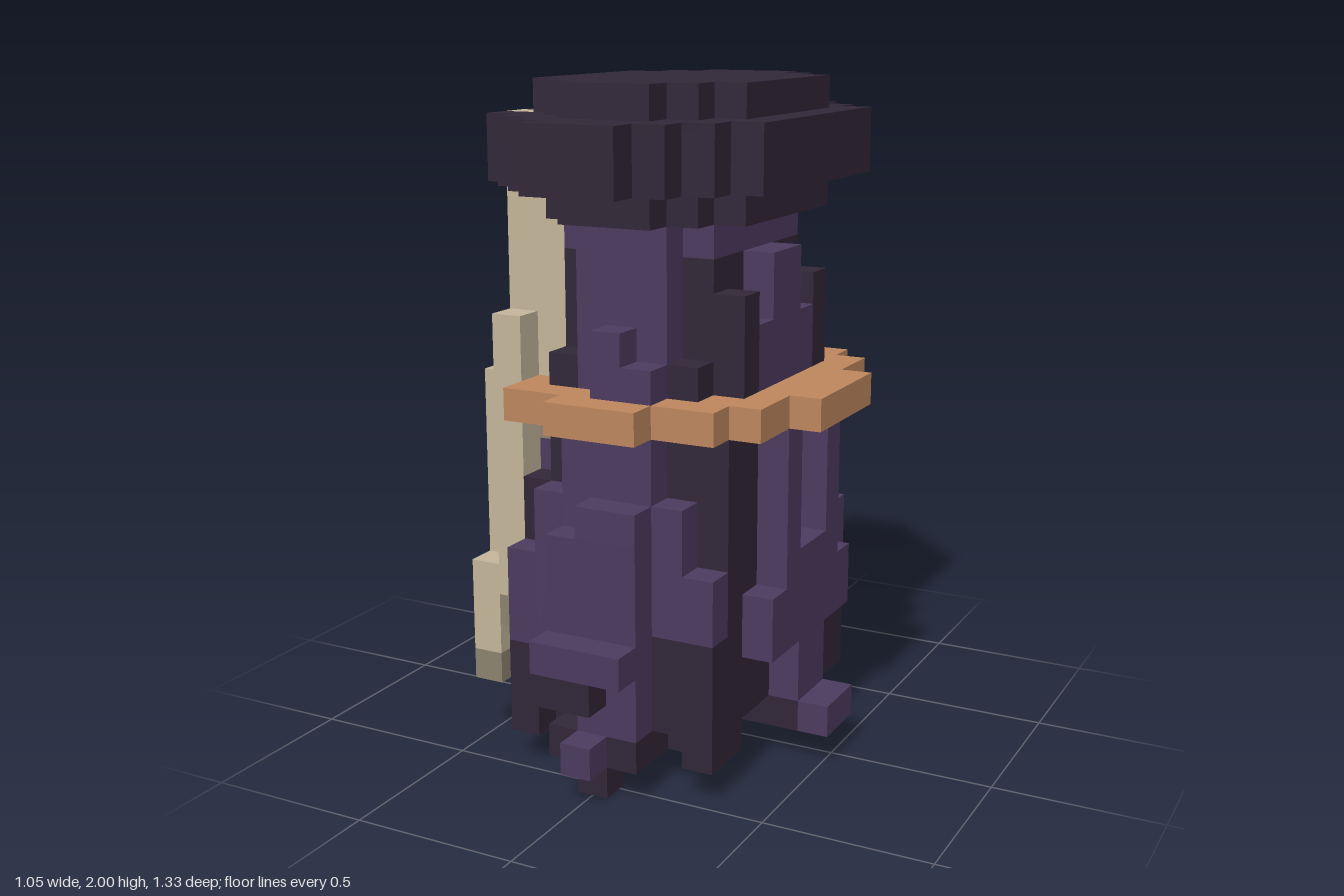
import * as THREE from 'three';
import { mergeGeometries } from 'three/addons/utils/BufferGeometryUtils.js';

const U = 2 / 21; // size of one block

const material = (name, color) => {
  const m = new THREE.MeshStandardMaterial({ color });
  m.name = name;
  return m;
};

// Each block is [x0, x1, y0, y1, z0, z1]. z0 = 0 spans both halves; otherwise it is mirrored in z.
function part(name, mat, blocks) {
  const geos = [];
  const add = (x0, x1, y0, y1, z0, z1) => {
    const g = new THREE.BoxGeometry((x1 - x0) * U, (y1 - y0) * U, (z1 - z0) * U);
    g.translate((x0 + x1) * U / 2, (y0 + y1) * U / 2, (z0 + z1) * U / 2);
    geos.push(g);
  };
  for (const [x0, x1, y0, y1, z0, z1] of blocks) {
    if (z0 === 0) add(x0, x1, y0, y1, -z1, z1);
    else {
      add(x0, x1, y0, y1, z0, z1);
      add(x0, x1, y0, y1, -z1, -z0);
    }
  }
  const mesh = new THREE.Mesh(mergeGeometries(geos), mat);
  mesh.name = name;
  return mesh;
}

export function createModel() {
  const dark = material('dark cloth', 0x312738);
  const purple = material('purple cloth', 0x4c3a5f);
  const tan = material('pale wood', 0xc4b59a);
  const shade = material('wood tips', 0x8c826f);
  const orange = material('rope', 0xbd865e);
  const model = new THREE.Group();
  model.name = 'wrappedBundle';

  // Stepped cap, notched where the poles pass
  model.add(part('capTop', dark, [
    [-3.5, 3.5, 20, 21, 0, 3], [-2.5, 2.5, 20, 21, 3, 4], [-1.5, 1.5, 20, 21, 4, 5],
  ]));
  model.add(part('capBrim', dark, [
    [-4.5, 4.5, 18, 20, 0, 2], [-3.5, 4.5, 18, 20, 2, 3], [-4.5, 4.5, 18, 20, 3, 4],
    [-3.5, 3.5, 18, 20, 4, 5], [-2.5, 2.5, 18, 20, 5, 6], [-1.5, 1.5, 18, 20, 6, 7],
  ]));
  model.add(part('capUnderside', dark, [
    [-3.5, 3.5, 17, 18, 0, 2], [-2.5, 3.5, 17, 18, 2, 3],
    [-2.5, 2.5, 17, 18, 3, 4], [-1.5, 1.5, 17, 18, 4, 5],
  ]));

  // Upper wrap
  model.add(part('upperCloth', purple, [
    [-1.5, 1.5, 12, 17, 0, 4], [-2.5, 2.5, 12, 16, 0, 1], [-2.5, 2.5, 16, 17, 0, 3],
    [-3.5, 3.5, 12, 14, 0, 2], [2.5, 3.5, 14, 16, 0, 1],
    [-0.5, 0.5, 12, 14, 4, 5], [0.5, 1.5, 12, 13, 4, 5],
  ]));
  model.add(part('upperFolds', dark, [
    [1.5, 2.5, 12, 16, 1, 3], [-2.5, -1.5, 12, 16, 1, 3], [2.5, 3.5, 12, 15, 2, 3],
    [-2.5, -1.5, 12, 13, 3, 4], [1.5, 2.5, 12, 13, 3, 4],
  ]));

  // Rope ring
  model.add(part('rope', orange, [
    [-5.5, 5.5, 11, 12, 0, 2], [-3.5, 4.5, 11, 12, 2, 4],
    [-3.5, 3.5, 11, 12, 4, 5], [-1.5, 1.5, 11, 12, 5, 6],
  ]));

  // Lower core, with a notched hem
  model.add(part('lowerCore', dark, [
    [-3.5, 3.5, 2, 4, 0, 5], [-3.5, 3.5, 4, 7, 0, 4], [-2.5, 2.5, 7, 11, 0, 4],
    [2.5, 3.5, 7, 11, 2, 4], [-3.5, -2.5, 7, 9, 2, 4], [-1.5, 3.5, 4, 5, 4, 5],
  ]));
  model.add(part('hem', dark, [
    [-2.5, 2.5, 1, 2, 0, 4], [-4.5, 4.5, 1, 2, 0, 1], [-1.5, 1.5, 1, 2, 4, 6],
    [2.5, 3.5, 1, 2, 3, 5], [-3.5, -2.5, 1, 2, 3, 5], [-1.5, 0.5, 3, 4, 6, 7],
  ]));
  model.add(part('feet', dark, [[-0.5, 0.5, 0, 1, 5, 6]]));

  // Hanging cloth panels at the two ends
  model.add(part('endPanels', purple, [
    [-1.5, 1.5, 5, 11, 4, 5], [-1.5, 1.5, 4, 8, 5, 6], [-0.5, 1.5, 8, 9, 5, 6],
    [-0.5, 1.5, 2, 4, 5, 6], [-1.5, 1.5, 4, 5, 6, 7], [-0.5, 0.5, 1, 2, 6, 7],
    [1.5, 2.5, 5, 9, 4, 5], [2.5, 3.5, 5, 7, 4, 5],
    [-2.5, -1.5, 4, 9, 4, 5], [-3.5, -2.5, 4, 7, 4, 5],
  ]));

  // Hanging cloth panels on the two sides
  model.add(part('sidePanels', purple, [
    [2.5, 3.5, 7, 11, 0, 2], [3.5, 4.5, 7, 11, 1, 2], [3.5, 4.5, 4, 7, 0, 2],
    [3.5, 4.5, 4, 6, 2, 3], [3.5, 4.5, 2, 4, 0, 1], [4.5, 5.5, 1, 2, 0, 1],
    [-3.5, -2.5, 7, 11, 0, 2], [-3.5, -2.5, 9, 10, 2, 3],
    [-4.5, -3.5, 4, 9, 0, 2], [-4.5, -3.5, 2, 4, 0, 1],
  ]));

  // Pair of stepped leaning poles
  model.add(part('poles', tan, [
    [-5.5, -4.5, 3, 6, 3, 4], [-5.5, -4.5, 3, 12, 2, 3], [-4.5, -3.5, 5, 14, 3, 4],
    [-4.5, -3.5, 3, 20, 2, 3], [-3.5, -2.5, 11, 18, 2, 3],
  ]));
  model.add(part('poleTips', shade, [
    [-5.5, -4.5, 2, 3, 2, 4], [-4.5, -3.5, 2, 3, 2, 3],
    [-4.5, -3.5, 4, 5, 3, 4], [-3.5, -2.5, 10, 11, 2, 3],
  ]));
  return model;
}
